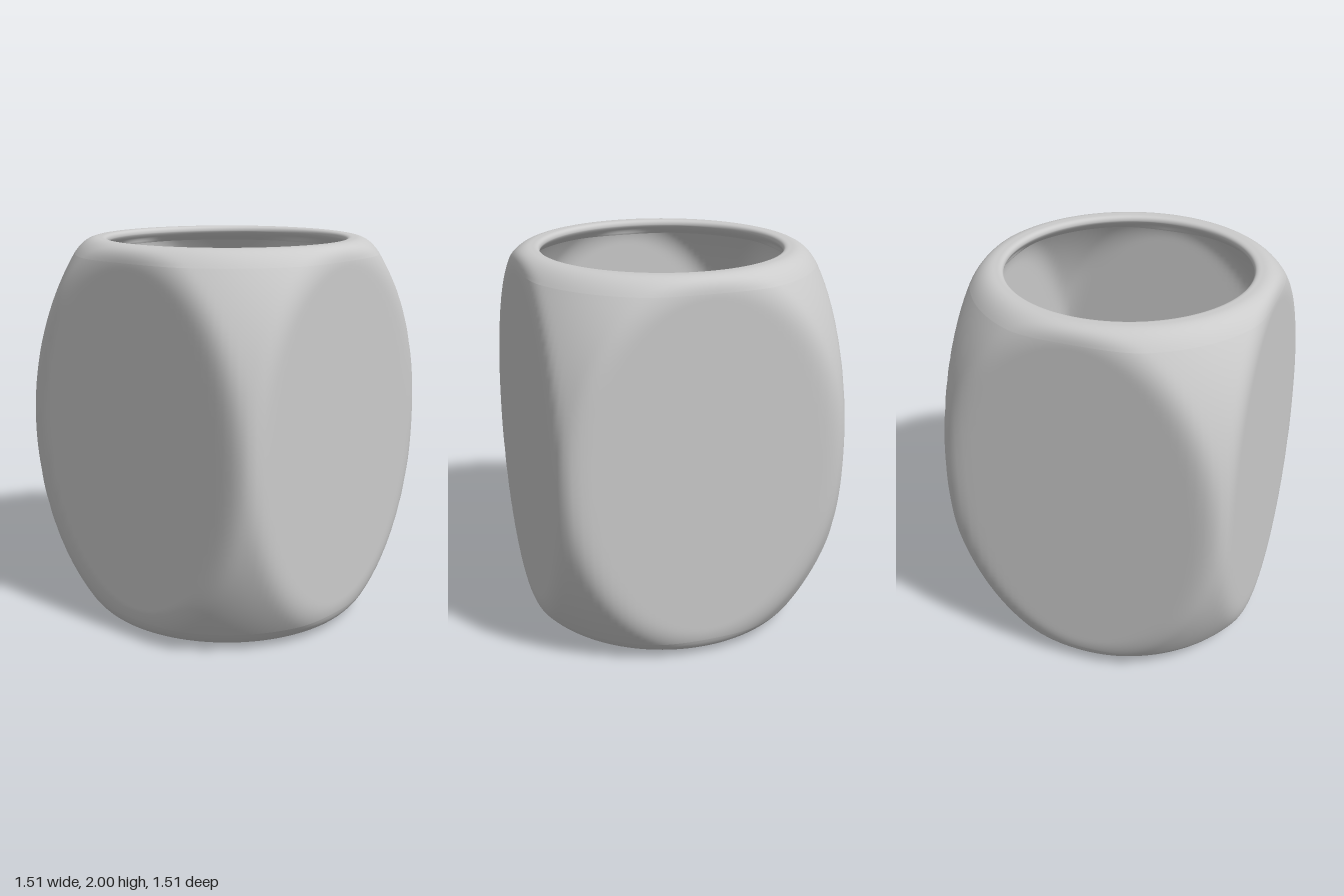
import * as THREE from 'three';

const CENTER_Y = 1.03; // widest level of the egg-shaped body
const SEGMENTS = 160;

// Radius of an ellipsoid of half-width a and half-height b at height y
const radiusAt = (y, a, b) => a * Math.sqrt(Math.max(0, 1 - ((y - CENTER_Y) / b) ** 2));

// Minimum of two values with a rounded transition of width k
function softMin(a, b, k = 0.05) {
  const h = Math.max(k - Math.abs(a - b), 0) / k;
  return Math.min(a, b) - h * h * k * 0.25;
}

// Rounded corner between two profile points
function fillet(from, corner, to, steps = 12) {
  const v = (p) => new THREE.Vector2(...p);
  return new THREE.QuadraticBezierCurve(v(from), v(corner), v(to)).getPoints(steps);
}

// Ellipsoid profile from y0 to y1, finer near both ends
function wall(y0, y1, a, b, steps = 72) {
  const points = [];
  for (let i = 1; i < steps; i++) {
    const y = y0 + (y1 - y0) * (0.5 - 0.5 * Math.cos((Math.PI * i) / steps));
    points.push(new THREE.Vector2(radiusAt(y, a, b), y));
  }
  return points;
}

// Sweeps a closed shell around y, flattening four sides at the given distance
function flattenedShell(rings) {
  const positions = [], index = [];
  for (const { point, side } of rings) {
    for (let j = 0; j < SEGMENTS; j++) {
      const t = (j / SEGMENTS) * Math.PI * 2;
      const c = Math.cos(t), s = Math.sin(t);
      const r = softMin(point.x, side / Math.max(Math.abs(c), Math.abs(s)));
      positions.push(r * c, point.y, r * s);
    }
  }
  for (let i = 0; i < rings.length - 1; i++) {
    for (let j = 0; j < SEGMENTS; j++) {
      const k = (j + 1) % SEGMENTS;
      const a = i * SEGMENTS + j, b = a + SEGMENTS;
      const c = i * SEGMENTS + k, d = c + SEGMENTS;
      index.push(a, b, c, b, d, c);
    }
  }
  const geometry = new THREE.BufferGeometry();
  geometry.setAttribute('position', new THREE.Float32BufferAttribute(positions, 3));
  geometry.setIndex(index);
  geometry.computeVertexNormals();
  return geometry;
}

export function createModel() {
  const A = 1.023, B = 1.4;   // outer ellipsoid
  const a = 0.923, b = 1.3;   // inner ellipsoid
  const material = new THREE.MeshStandardMaterial({ color: 0xcccccc });

  // Outside: flat base, bulging wall, rounded rim
  const outer = [
    new THREE.Vector2(0.001, 0),
    new THREE.Vector2(0.58, 0),
    ...fillet([0.6, 0], [radiusAt(0, A, B), 0], [radiusAt(0.1, A, B), 0.1]),
    ...wall(0.1, 1.92, A, B),
    ...fillet([radiusAt(1.92, A, B), 1.92], [0.735, 2], [0.67, 2]),
  ];
  // Inside: lip of the opening, cavity wall, flat floor
  const inner = [
    ...fillet([0.65, 2], [0.62, 2], [0.62, 1.975], 8),
    ...fillet([0.621, 1.97], [0.63, 1.95], [radiusAt(1.92, a, b), 1.92], 5),
    ...wall(1.92, 0.17, a, b),
    ...fillet([radiusAt(0.17, a, b), 0.17], [radiusAt(0.1, a, b), 0.1], [0.56, 0.1]),
    new THREE.Vector2(0.54, 0.1),
    new THREE.Vector2(0.001, 0.1),
  ];
  const rings = [
    ...outer.map((point) => ({ point, side: 0.755 })),
    ...inner.map((point) => ({ point, side: point.y > 1.94 ? 0.755 : 0.655 })),
  ];

  const vessel = new THREE.Mesh(flattenedShell(rings), material);
  vessel.name = 'hollowVessel';

  const group = new THREE.Group();
  group.name = 'flatSidedPot';
  group.add(vessel);
  return group;
}
